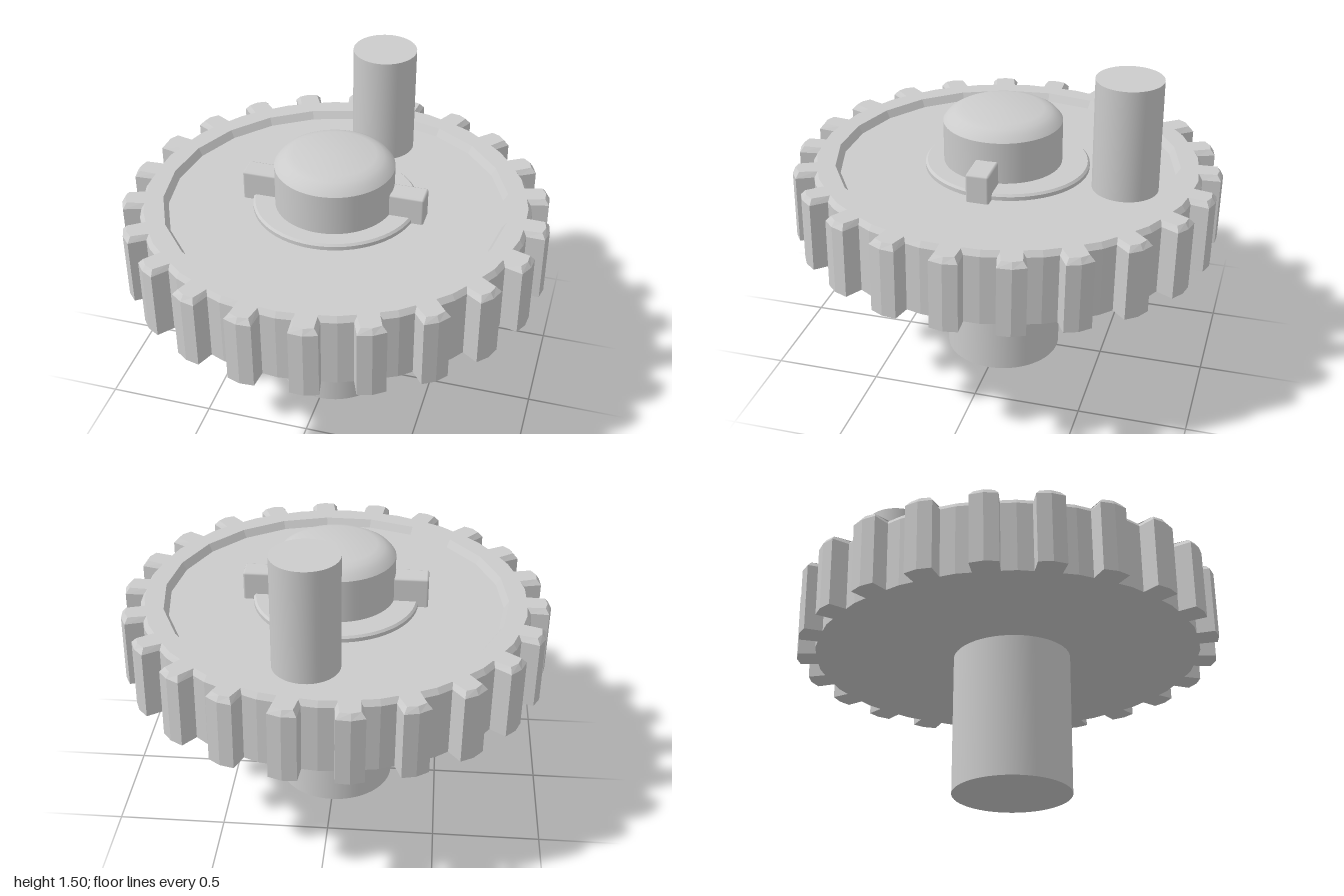
import * as THREE from 'three';
import { toCreasedNormals } from 'three/addons/utils/BufferGeometryUtils.js';
import { RoundedBoxGeometry } from 'three/addons/geometries/RoundedBoxGeometry.js';

const TEETH = 22;
const STEP = (Math.PI * 2) / TEETH;
const TOP = 1.018, BOTTOM = 0.672, FLOOR = 0.982;

const smooth = new THREE.MeshStandardMaterial({ color: 0xcccccc });
const flat = new THREE.MeshStandardMaterial({ color: 0xcccccc, flatShading: true });

function add(parent, name, geometry, material = smooth) {
  const mesh = new THREE.Mesh(geometry, material);
  mesh.name = name;
  parent.add(mesh);
  return mesh;
}

// Solid of revolution with sharp edges kept
function turned(profile, segments = 64) {
  const points = profile.map(([r, y]) => new THREE.Vector2(r, y));
  return toCreasedNormals(new THREE.LatheGeometry(points, segments), 0.35);
}

// Corners of one tooth: angle from its middle, radius
const TOOTH = [[-0.066, 0.905], [-0.064, 0.99], [0, 1], [0.064, 0.99], [0.066, 0.905], [STEP / 2, 0.91]];

// Toothed outline, optionally inset for the bevel
function toothLoop(y, inset = 0) {
  const loop = [];
  for (let t = 0; t < TEETH; t++) {
    TOOTH.forEach(([offset, radius], k) => {
      const a = t * STEP + (k === 5 ? offset : offset - Math.sign(offset) * inset);
      const r = radius - inset;
      loop.push([r * Math.cos(a), y, -r * Math.sin(a)]);
    });
  }
  return loop;
}

// Faceted recess outline with the same number of points as the teeth
function facetLoop(radius, y) {
  const loop = [];
  for (let t = 0; t < TEETH; t++) {
    for (const [offset] of TOOTH) {
      const a = t * STEP + offset;
      const r = (radius * Math.cos(STEP / 2)) / Math.cos(Math.abs(offset) - STEP / 2);
      loop.push([r * Math.cos(a), y, -r * Math.sin(a)]);
    }
  }
  return loop;
}

// Skin stacked loops and close both ends with a fan
function loft(loops) {
  const pos = [];
  const n = loops[0].length;
  const first = loops[0], last = loops[loops.length - 1];
  for (let i = 0; i < n; i++) {
    const j = (i + 1) % n;
    for (let k = 0; k < loops.length - 1; k++) {
      const a = loops[k], b = loops[k + 1];
      pos.push(...a[i], ...a[j], ...b[j], ...a[i], ...b[j], ...b[i]);
    }
    pos.push(...first[j], ...first[i], 0, first[0][1], 0);
    pos.push(...last[i], ...last[j], 0, last[0][1], 0);
  }
  const geometry = new THREE.BufferGeometry();
  geometry.setAttribute('position', new THREE.Float32BufferAttribute(pos, 3));
  geometry.computeVertexNormals();
  return geometry;
}

export function createModel() {
  const model = new THREE.Group();
  model.name = 'gearWithCrankPin';

  // Gear wheel, leaning very slightly on its shaft
  const wheel = new THREE.Group();
  wheel.name = 'gearWheel';
  wheel.rotation.set(-0.013, 0, 0.01);
  // Tilt about the middle of the wheel rather than the ground
  wheel.position.set(-0.01 * -0.85, 0, 0.013 * -0.85);
  model.add(wheel);

  add(wheel, 'gearBody', loft([
    toothLoop(BOTTOM),
    toothLoop(TOP - 0.025),
    toothLoop(TOP, 0.018),
    facetLoop(0.805, TOP),
    facetLoop(0.783, FLOOR),
  ]), flat);

  // Raised collar around the shaft
  add(wheel, 'collar', turned([
    [0.385, FLOOR - 0.01], [0.385, 1.0], [0.375, 1.01], [0, 1.01],
  ])).position.z = 0.002;

  // Shaft with rounded-off top
  add(model, 'shaft', turned([
    [0, 0], [0.277, 0], [0.277, 1.21], [0.255, 1.236], [0.225, 1.254], [0.19, 1.265], [0, 1.265],
  ]));

  // Keys on both sides of the shaft
  for (const side of [1, -1]) {
    const key = add(model, side > 0 ? 'leftKey' : 'rightKey', new RoundedBoxGeometry(0.22, 0.18, 0.106, 1, 0.01));
    key.position.set(side * 0.322, 1.03, 0);
  }

  // Off-centre crank pin
  const pin = add(model, 'crankPin', new THREE.CylinderGeometry(0.152, 0.152, 0.56, 48));
  pin.position.set(0.08, 1.223, -0.597);

  return model;
}
